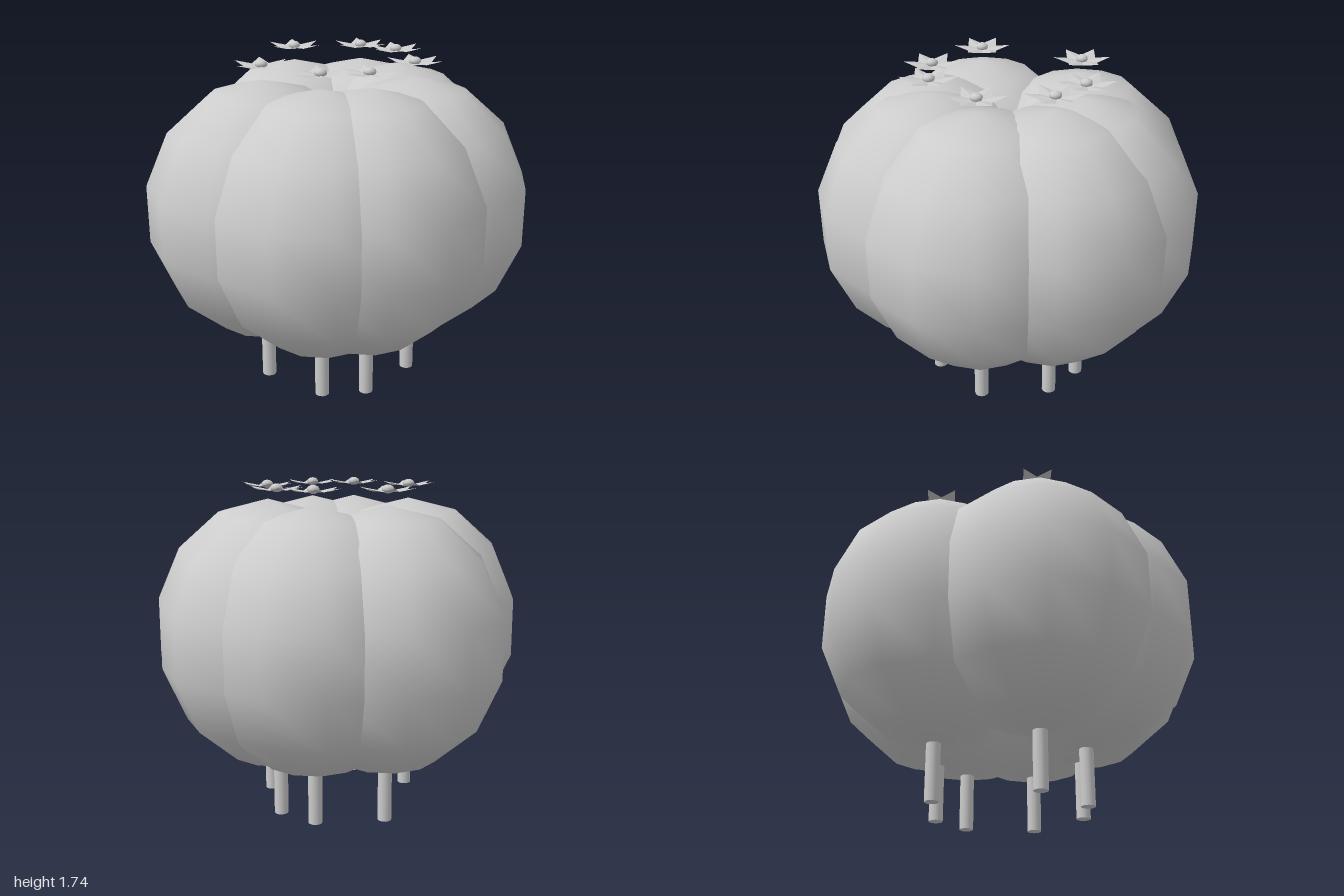
import * as THREE from 'three';

const grey = new THREE.MeshStandardMaterial({ color: 0xcccccc, side: THREE.DoubleSide });
grey.name = 'pale grey';

// Positions (x, z) of the seven plants around the middle
const SPOTS = [
  [0.03, -0.41], [0.34, -0.22], [0.403, 0], [0.24, 0.33],
  [-0.11, 0.40], [-0.31, 0.28], [-0.41, -0.07],
];

// Six-pointed blossom: ridged petals with upturned tips
function blossomGeometry() {
  const ring = (i) => {
    const a = (i * Math.PI) / 6;
    const tip = i % 2 === 0;
    const r = tip ? 0.148 : 0.085;
    return [r * Math.cos(a), tip ? 0.022 : 0.004, r * Math.sin(a)];
  };
  const points = [];
  for (let i = 0; i < 12; i++) points.push(0, 0, 0, ...ring(i + 1), ...ring(i));
  const geometry = new THREE.BufferGeometry();
  geometry.setAttribute('position', new THREE.Float32BufferAttribute(points, 3));
  geometry.computeVertexNormals();
  return geometry;
}

export function createModel() {
  const model = new THREE.Group();
  model.name = 'plantCluster';

  const stem = new THREE.CylinderGeometry(0.037, 0.037, 0.5, 12).translate(0, 0.25, 0);
  const lobe = new THREE.SphereGeometry(0.61, 12, 7).scale(1, 0.675 / 0.61, 1).translate(0, 0.963, 0);
  const petals = blossomGeometry().translate(0, 1.702, 0);
  const heart = new THREE.SphereGeometry(0.031, 10, 8).scale(1, 0.7, 1).translate(0, 1.716, 0);

  const parts = { stem, lobe, petals, flowerCentre: heart };
  for (const [x, z] of SPOTS) {
    const plant = new THREE.Group();
    plant.name = 'plant';
    plant.position.set(x, 0, z);
    for (const [name, geometry] of Object.entries(parts)) {
      const mesh = new THREE.Mesh(geometry, grey);
      mesh.name = name;
      plant.add(mesh);
    }
    model.add(plant);
  }
  return model;
}
